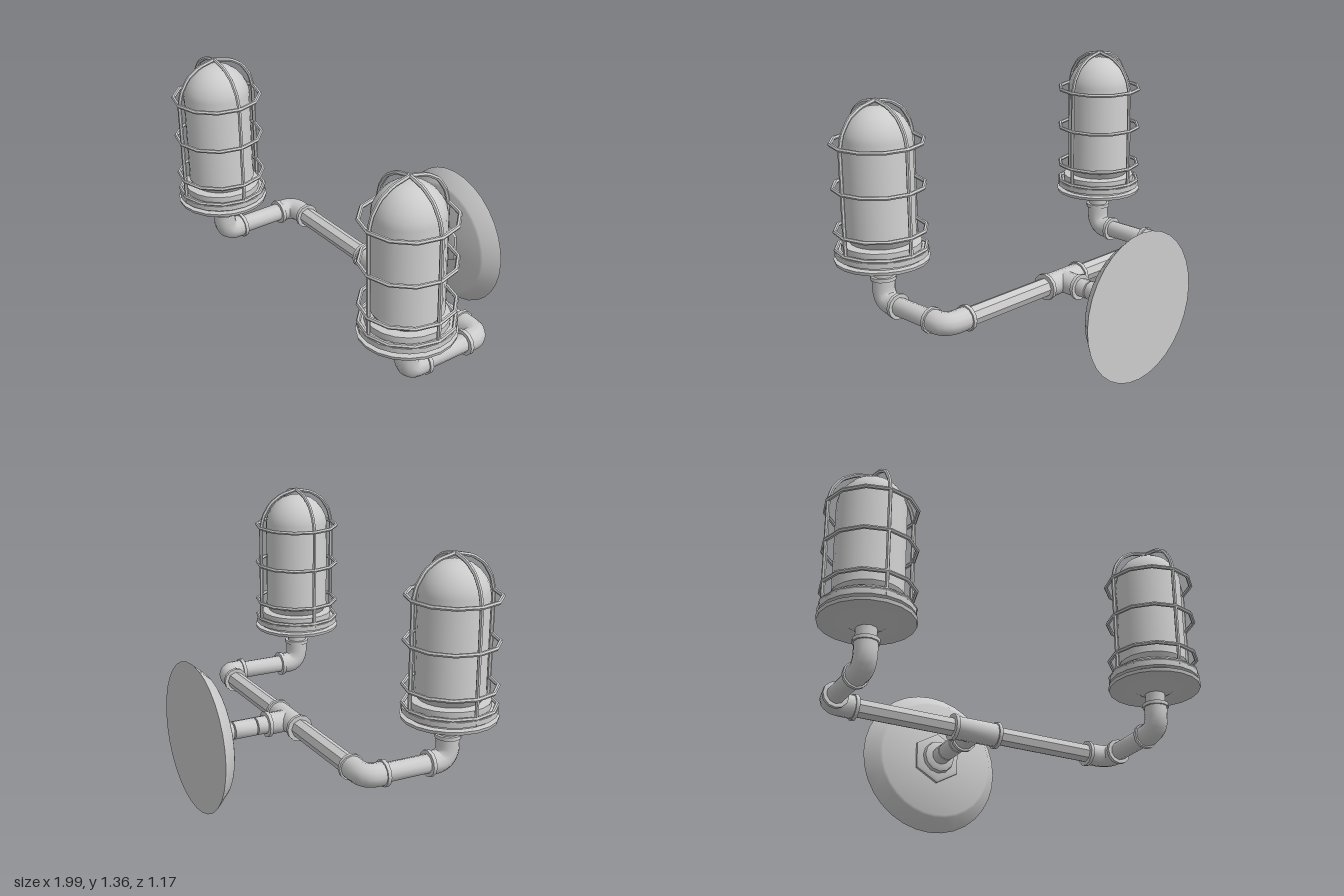
import * as THREE from 'three';
import { toCreasedNormals } from 'three/addons/utils/BufferGeometryUtils.js';

const material = new THREE.MeshStandardMaterial({ color: 0xcccccc });
const V = (x, y, z) => new THREE.Vector3(x, y, z);
const PIPE_Y = 0.383, ARM_Z = -0.08, LAMP_X = 0.768, LAMP_Z = 0.357;

function add(parent, name, geometry) {
  const mesh = new THREE.Mesh(toCreasedNormals(geometry, 0.7), material);
  mesh.name = name;
  parent.add(mesh);
  return mesh;
}

// Turned part from [radius, height] pairs, listed bottom to top
function turned(parent, name, profile, sides) {
  return add(parent, name, new THREE.LatheGeometry(profile.map(p => new THREE.Vector2(...p)), sides));
}

// Straight round part between two points
function rod(parent, name, a, b, radius, sides = 10) {
  const dir = b.clone().sub(a);
  const mesh = add(parent, name, new THREE.CylinderGeometry(radius, radius, dir.length(), sides));
  mesh.position.copy(a).add(b).multiplyScalar(0.5);
  mesh.quaternion.setFromUnitVectors(V(0, 1, 0), dir.normalize());
  return mesh;
}

// Thin collar ring centred on a point, facing along dir
function collar(parent, at, dir, radius = 0.064) {
  const half = dir.clone().multiplyScalar(0.009);
  rod(parent, 'collar', at.clone().sub(half), at.clone().add(half), radius, 12);
}

// Pipe bend from a to b around a corner, collared at both ends
function elbow(parent, name, a, corner, b) {
  const m = 0.35;
  const path = new THREE.CurvePath();
  const p = a.clone().lerp(corner, m), q = b.clone().lerp(corner, m);
  path.add(new THREE.LineCurve3(a, p));
  path.add(new THREE.QuadraticBezierCurve3(p, corner, q));
  path.add(new THREE.LineCurve3(q, b));
  add(parent, name, new THREE.TubeGeometry(path, 12, 0.056, 12, false));
  collar(parent, a, corner.clone().sub(a).normalize());
  collar(parent, b, corner.clone().sub(b).normalize());
}

function wallMount(parent) {
  const mount = new THREE.Group();
  mount.name = 'wallMount';
  mount.position.set(-0.005, PIPE_Y, 0);
  mount.rotation.x = Math.PI / 2; // turned parts now point to +z
  parent.add(mount);
  turned(mount, 'wallPlate', [[0, -0.585], [0.373, -0.585], [0.312, -0.515], [0.3, -0.508], [0, -0.508]], 32);
  turned(mount, 'hexFlange', [[0.132, -0.51], [0.132, -0.494], [0.115, -0.486], [0, -0.486]], 6);
  turned(mount, 'stemSocket', [[0.085, -0.49], [0.08, -0.465], [0.062, -0.456], [0, -0.456]], 12);
}

function lamp(parent, x) {
  const g = new THREE.Group();
  g.name = 'lamp';
  g.position.set(x, 0, LAMP_Z);
  parent.add(g);

  rod(g, 'lampNeck', V(0, 0.49, 0), V(0, 0.575, 0), 0.05);
  turned(g, 'lampBase', [
    [0, 0.565], [0.055, 0.565], [0.1, 0.594], [0.224, 0.594], [0.228, 0.61], [0.2, 0.613],
    [0.2, 0.624], [0.222, 0.627], [0.222, 0.652], [0.19, 0.657], [0.19, 0.688],
    [0.155, 0.694], [0, 0.694]], 20);
  turned(g, 'glassJar', [
    [0.148, 0.69], [0.168, 0.725], [0.165, 0.74], [0.165, 1.19], [0.158, 1.222], [0.14, 1.258],
    [0.112, 1.292], [0.08, 1.315], [0.042, 1.329], [0, 1.332]], 24);

  // Guard cage: flat rings and two crossing wire hoops
  for (const y of [0.66, 0.75, 0.96, 1.17]) {
    const ring = add(g, 'cageRing', new THREE.TorusGeometry(0.216, 0.01, 6, 12));
    ring.rotation.x = Math.PI / 2;
    ring.position.y = y;
  }
  const half = [[0.213, 0.63], [0.213, 0.9], [0.213, 1.17], [0.197, 1.235], [0.155, 1.3], [0.09, 1.342]];
  const points = [...half.map(([r, y]) => V(r, y, 0)), V(0, 1.363, 0),
    ...half.slice().reverse().map(([r, y]) => V(-r, y, 0))];
  const path = new THREE.CurvePath();
  for (let i = 1; i < points.length; i++) path.add(new THREE.LineCurve3(points[i - 1], points[i]));
  for (const turn of [0, Math.PI / 2]) {
    const hoop = add(g, 'cageHoop', new THREE.TubeGeometry(path, 64, 0.01, 6, false));
    hoop.rotation.y = turn;
  }
}

export function createModel() {
  const model = new THREE.Group();
  model.name = 'twinWallLight';
  wallMount(model);

  // Stem in three short lengths with narrow gaps
  for (const [z0, z1] of [[-0.465, -0.391], [-0.384, -0.269], [-0.262, -0.19]])
    rod(model, 'stemPipe', V(-0.005, PIPE_Y, z0), V(-0.005, PIPE_Y, z1), 0.046);

  // Tee fitting
  rod(model, 'teeBranch', V(-0.005, PIPE_Y, -0.2), V(-0.005, PIPE_Y, ARM_Z), 0.055, 12);
  rod(model, 'teeBody', V(-0.125, PIPE_Y, ARM_Z), V(0.115, PIPE_Y, ARM_Z), 0.058, 12);
  collar(model, V(-0.005, PIPE_Y, -0.2), V(0, 0, 1), 0.065);
  collar(model, V(-0.122, PIPE_Y, ARM_Z), V(1, 0, 0), 0.067);
  collar(model, V(0.112, PIPE_Y, ARM_Z), V(1, 0, 0), 0.067);

  // Mirrored arms and lamps
  for (const s of [-1, 1]) {
    const x = s * LAMP_X;
    rod(model, 'armPipe', V(s * 0.1, PIPE_Y, ARM_Z), V(s * 0.65, PIPE_Y, ARM_Z), 0.047, 8);
    elbow(model, 'armElbow', V(s * 0.64, PIPE_Y, ARM_Z), V(x, PIPE_Y, ARM_Z), V(x, PIPE_Y, 0.015));
    rod(model, 'forwardPipe', V(x, PIPE_Y, 0), V(x, PIPE_Y, 0.265), 0.046);
    elbow(model, 'lampElbow', V(x, PIPE_Y, 0.255), V(x, PIPE_Y, LAMP_Z), V(x, 0.505, LAMP_Z));
    lamp(model, x);
  }
  return model;
}
